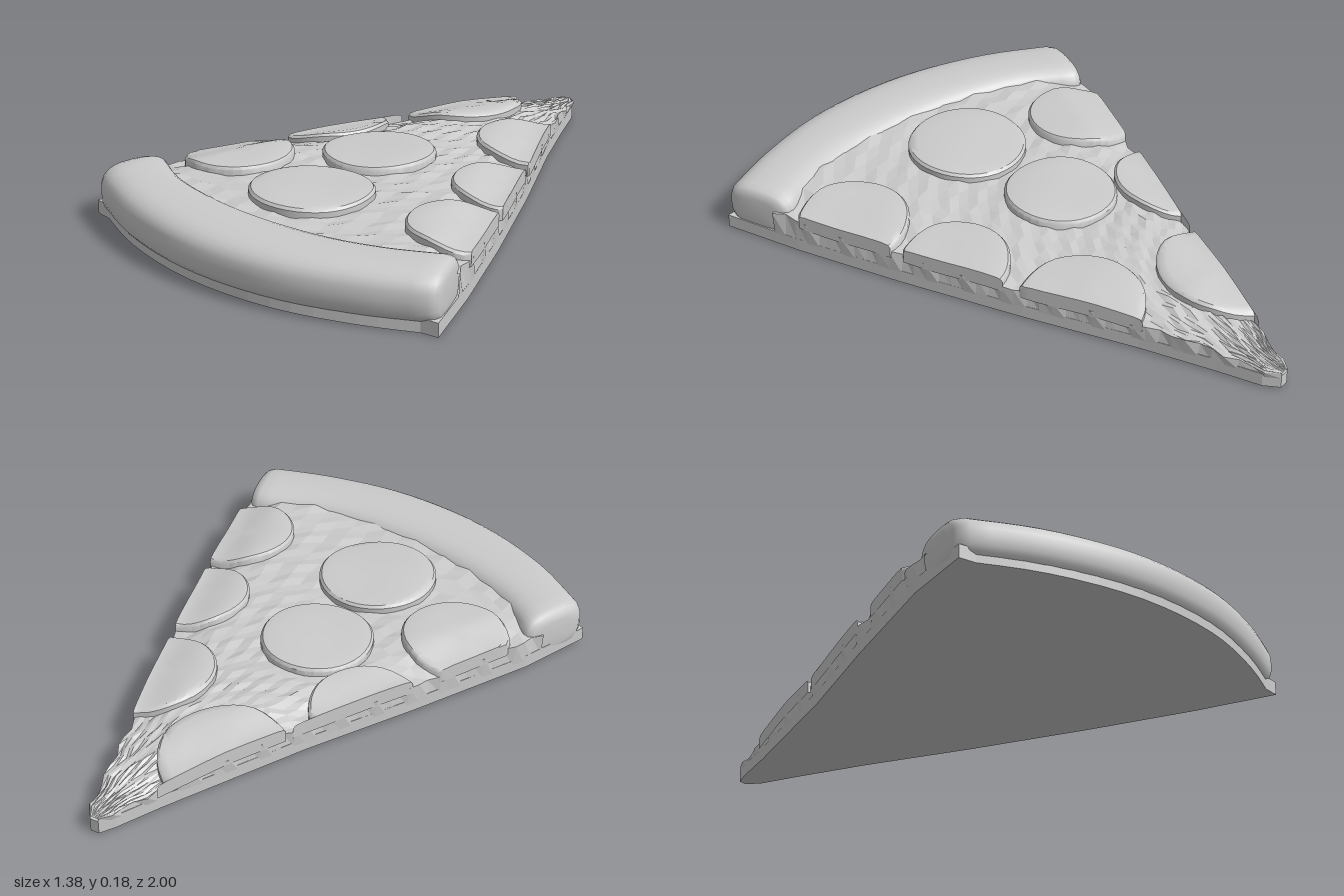
import * as THREE from 'three';
import { toCreasedNormals } from 'three/addons/utils/BufferGeometryUtils.js';

const V = (x, z) => new THREE.Vector3(x, 0, z);
const lerp = THREE.MathUtils.lerp;

// Outer and inner plan curves of the crust, running left to right
const outer = new THREE.CatmullRomCurve3([V(-0.7, 0.655), V(-0.45, 0.83), V(-0.15, 0.955), V(0.17, 0.998), V(0.45, 0.965), V(0.69, 0.9)]);
const inner = new THREE.CatmullRomCurve3([V(-0.595, 0.42), V(-0.42, 0.56), V(-0.12, 0.68), V(0.2, 0.73), V(0.42, 0.715), V(0.635, 0.655)]);

// Cut edges as [z, x] points
const leftEdge = [[-1, 0.155], [-0.95, 0.125], [-0.8, 0.055], [-0.33, -0.185], [0.02, -0.385], [0.42, -0.6], [0.66, -0.695]];
const rightEdge = [[-1, 0.185], [-0.95, 0.215], [-0.8, 0.25], [-0.55, 0.315], [-0.17, 0.43], [0.25, 0.545], [0.62, 0.635], [0.9, 0.69]];

function edgeX(edge, z) {
  for (let i = 1; i < edge.length; i++) {
    if (z <= edge[i][0] || i === edge.length - 1) {
      const [z0, x0] = edge[i - 1], [z1, x1] = edge[i];
      return lerp(x0, x1, THREE.MathUtils.clamp((z - z0) / (z1 - z0), 0, 1));
    }
  }
}

// Height of the cheese: rises from the tip, sags toward the cut edges
function cheeseY(x, z) {
  const base = z < -0.6 ? lerp(0.06, 0.125, (z + 1) / 0.4) : lerp(0.125, 0.15, (z + 0.6) / 1.2);
  const side = Math.min(x - edgeX(leftEdge, z), edgeX(rightEdge, z) - x);
  const sag = 0.03 * (1 - THREE.MathUtils.smoothstep(side, 0, 0.16)) * Math.min(1, (z + 1) / 0.4);
  return base - sag + 0.005 * Math.sin(9 * x + 5 * z) * Math.cos(11 * z - 4 * x);
}

// Grid surface from a point rule; faces point along dv x du
function grid(nu, nv, point) {
  const pos = [], index = [];
  for (let i = 0; i <= nu; i++) {
    for (let j = 0; j <= nv; j++) {
      pos.push(...point(i, j));
      if (i < nu && j < nv) {
        const a = i * (nv + 1) + j, c = a + nv + 1;
        index.push(a, a + 1, c, a + 1, c + 1, c);
      }
    }
  }
  const g = new THREE.BufferGeometry();
  g.setAttribute('position', new THREE.Float32BufferAttribute(pos, 3));
  g.setIndex(index);
  return g;
}

// Thin flat base under the whole slice
function doughGeometry() {
  const pts = leftEdge.map(([z, x]) => [x, z]).reverse();
  pts.push(...rightEdge.map(([z, x]) => [x, z]));
  for (let i = 19; i > 0; i--) {
    const p = outer.getPoint(i / 20);
    pts.push([p.x, p.z - 0.02]);
  }
  const shape = new THREE.Shape(pts.map(([x, z]) => new THREE.Vector2(x, -z)));
  const g = new THREE.ExtrudeGeometry(shape, { depth: 0.046, bevelEnabled: false });
  g.rotateX(-Math.PI / 2);
  const p = g.attributes.position;
  for (let i = 0; i < p.count; i++) p.setY(i, p.getY(i) + 0.007 - 0.01 * p.getX(i));
  return g;
}

// Rounded crust: squarish section swept between the two curves, closed at its ends
function crustGeometry() {
  const ends = [[0, 0], [0, 0.55], [0.003, 0.8], [0.012, 0.93], [0.03, 1]];
  const stations = [...ends];
  for (let i = 1; i < 24; i++) stations.push([0.03 + 0.94 * i / 24, 1]);
  stations.push(...ends.map(([t, s]) => [1 - t, s]).reverse());
  const sides = 28;
  const round = (v) => Math.sign(v) * Math.abs(v) ** 0.7;
  return grid(stations.length - 1, sides, (i, j) => {
    const [t, s] = stations[i], a = (j % sides) / sides * Math.PI * 2;
    const p = inner.getPoint(t).lerp(outer.getPoint(t), 0.5 + 0.5 * s * round(Math.sin(a)));
    return [p.x, 0.097 + 0.085 * s * round(Math.cos(a)), p.z];
  });
}

// Lumpy cheese sheet with hanging sides
function cheeseGeometry() {
  const n = 22, rows = 40;
  return grid(n + 2, rows, (i, j) => {
    const wall = i === 0 || i === n + 2;
    const u = THREE.MathUtils.clamp((i - 1) / n, 0, 1), v = j / rows;
    const z = lerp(-1, inner.getPoint(u).z + 0.06, v);
    const ripple = wall || j === 0 ? 0 : 0.008 * Math.sin(j * 1.9) * (2 * u - 1);
    const x = lerp(edgeX(leftEdge, z), edgeX(rightEdge, z), u) + ripple;
    const bump = j === 0 || wall ? 0 : 0.006 * Math.sin(i * 2.3 + j * 1.1) * Math.sin(j * 1.7 - i * 0.6);
    return [x, wall ? 0.04 : cheeseY(x, z) + bump, z];
  });
}

// Sausage disc draped on the cheese and trimmed at the cut edges
function discGeometry(cx, cz, r) {
  const profile = [[0, 0.032], [0.3, 0.032], [0.6, 0.031], [0.85, 0.03], [0.96, 0.027], [1, 0.018], [1, -0.02]];
  const sides = 40;
  return grid(sides, profile.length - 1, (i, j) => {
    const a = -(i % sides) / sides * Math.PI * 2, [s, h] = profile[j];
    const z = cz + r * s * Math.sin(a);
    const x = THREE.MathUtils.clamp(cx + r * s * Math.cos(a), edgeX(leftEdge, z) - 0.006, edgeX(rightEdge, z) + 0.006);
    return [x, cheeseY(x, z) + h, z];
  });
}

export function createModel() {
  const group = new THREE.Group();
  const smooth = new THREE.MeshStandardMaterial({ color: 0xcccccc });
  const faceted = new THREE.MeshStandardMaterial({ color: 0xcccccc, flatShading: true, side: THREE.DoubleSide });
  const add = (name, geometry, material) => {
    const mesh = new THREE.Mesh(geometry, material);
    mesh.name = name;
    group.add(mesh);
  };

  add('doughBase', doughGeometry(), smooth);
  add('crust', toCreasedNormals(crustGeometry(), 1), smooth);
  add('cheese', cheeseGeometry(), faceted);

  // Disc centres and radii: x, z, r
  const discs = [
    [-0.06, -0.6, 0.22], [0.37, -0.36, 0.205], [-0.335, -0.18, 0.2], [-0.01, 0.04, 0.187],
    [-0.01, 0.455, 0.2], [-0.4, 0.28, 0.18], [0.48, 0.07, 0.18], [0.54, 0.46, 0.185],
  ];
  discs.forEach(([x, z, r], i) => add(`sausageDisc${i + 1}`, toCreasedNormals(discGeometry(x, z, r), 0.7), smooth));
  return group;
}
